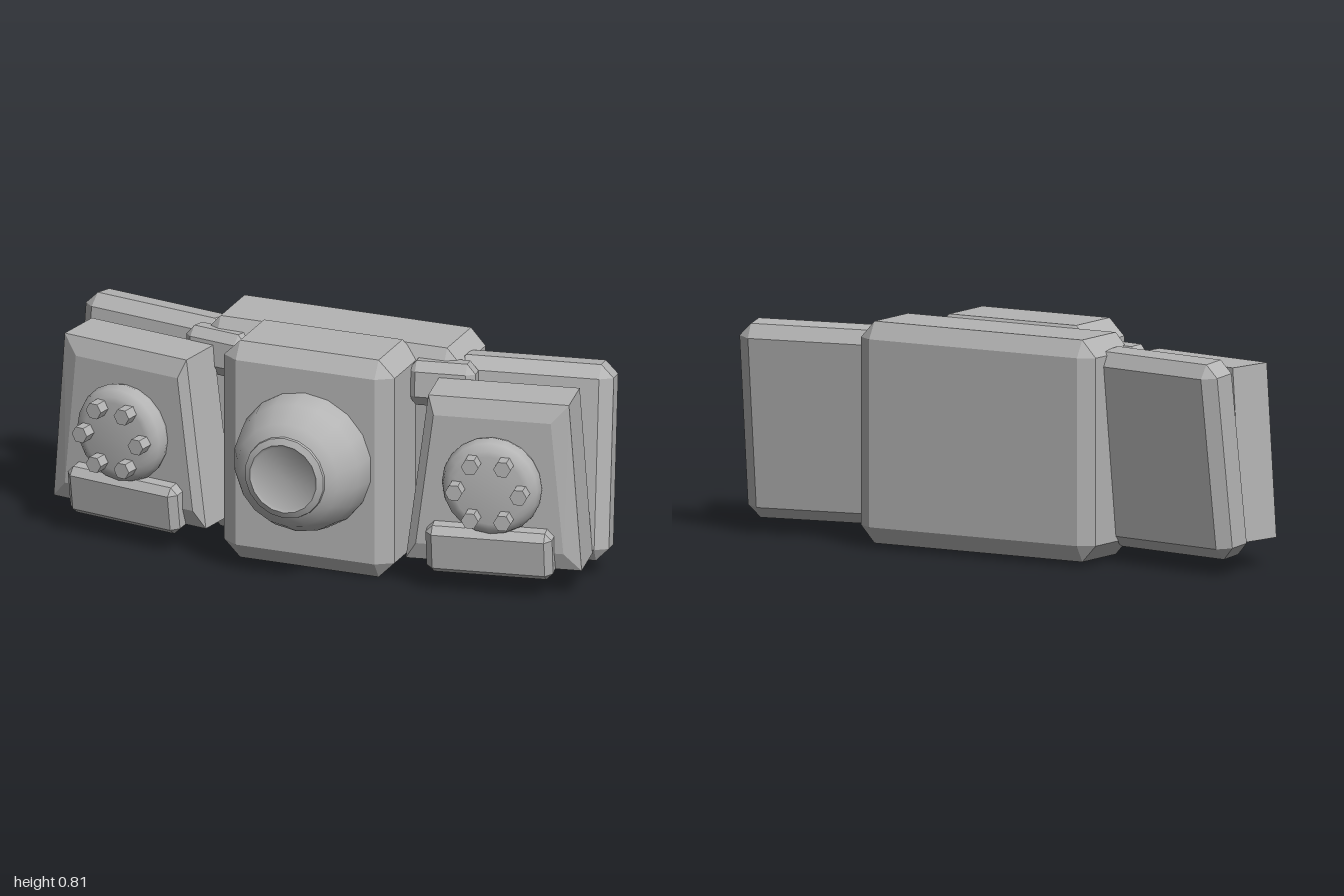
import * as THREE from 'three';
import { toCreasedNormals } from 'three/addons/utils/BufferGeometryUtils.js';
import { ConvexGeometry } from 'three/addons/geometries/ConvexGeometry.js';

const V = (x, y, z) => new THREE.Vector3(x, y, z);

// Box of size w,h,d with all edges and corners chamfered by cx,cy,cz
function chamferBox(w, h, d, cx, cy, cz) {
  const x = w / 2, y = h / 2, z = d / 2, pts = [];
  for (const i of [-1, 1]) for (const j of [-1, 1]) for (const k of [-1, 1]) {
    pts.push(
      V(i * x, j * (y - cy), k * (z - cz)),
      V(i * (x - cx), j * y, k * (z - cz)),
      V(i * (x - cx), j * (y - cy), k * z));
  }
  return new ConvexGeometry(pts);
}

// Round part turned about the z axis; profile is [radius, z] pairs
function turned(profile, sides) {
  const g = new THREE.LatheGeometry(profile.map(([r, z]) => new THREE.Vector2(r, z)), sides);
  return toCreasedNormals(g.rotateX(Math.PI / 2), 0.7);
}

export function createModel() {
  const grey = new THREE.MeshStandardMaterial({ color: 0xb4b4b4 });
  grey.name = 'grey';
  const model = new THREE.Group();
  model.name = 'beltUnit';

  const add = (parent, name, geometry, x, y, z, pitch = 0, yaw = 0) => {
    const m = new THREE.Mesh(geometry, grey);
    m.name = name;
    m.position.set(x, y, z);
    m.rotation.set(pitch, yaw, 0, 'YXZ');
    parent.add(m);
    return m;
  };

  // Central blocks
  add(model, 'centreBlock', chamferBox(0.64, 0.805, 0.30, 0.06, 0.06, 0.04), 0, 0.4025, 0.01);
  add(model, 'rearBlock', chamferBox(0.96, 0.78, 0.29, 0.055, 0.06, 0.035), 0, 0.405, -0.215);

  // Central dome with a flat rimmed tip
  add(model, 'dome', turned([
    [0.25, 0.14], [0.25, 0.17], [0.235, 0.24], [0.19, 0.323], [0.15, 0.343],
    [0.148, 0.352], [0.125, 0.362], [0.115, 0.355], [0, 0.355],
  ], 18), 0, 0.41, 0);

  // Wings on both sides, swept back
  for (const s of [1, -1]) {
    const yaw = 0.175 * s;

    add(model, 'rearPanel', chamferBox(0.57, 0.7, 0.145, 0.045, 0.045, 0.035),
      0.71 * s, 0.405, -0.2, -0.13, yaw);
    add(model, 'bracket', chamferBox(0.24, 0.16, 0.1, 0.03, 0.035, 0.025),
      0.42 * s, 0.675, -0.08, -0.08, yaw);

    const wing = new THREE.Group();
    wing.name = s > 0 ? 'leftWing' : 'rightWing';
    wing.position.set(0.68 * s, 0, 0.01);
    wing.rotation.y = yaw;
    model.add(wing);

    // Tapered front panel: each row is inner x, outer x, y, z
    const corners = [];
    for (const [inner, outer, y, z] of [
      [-0.325, 0.30, 0.1, -0.09], [-0.245, 0.255, 0.71, -0.09],
      [-0.325, 0.30, 0.1, 0.087], [-0.245, 0.255, 0.71, 0.087],
      [-0.285, 0.24, 0.165, 0.11], [-0.222, 0.195, 0.645, 0.11],
    ]) corners.push(V(inner * s, y, z), V(outer * s, y, z));
    add(wing, 'frontPanel', new ConvexGeometry(corners), 0, 0, 0);

    // Round cap and its ring of six bolts
    add(wing, 'cap', turned([
      [0.15, 0.085], [0.17, 0.1], [0.178, 0.128], [0.168, 0.158],
      [0.145, 0.178], [0.125, 0.182], [0, 0.182],
    ], 20), -0.01 * s, 0.407, 0);
    for (let i = 0; i < 6; i++) {
      const a = i * Math.PI / 3;
      const bolt = new THREE.CylinderGeometry(0.031, 0.031, 0.06, 6).toNonIndexed();
      bolt.rotateY(Math.PI / 2).rotateX(Math.PI / 2);
      add(wing, 'bolt', toCreasedNormals(bolt, 0.5),
        -0.01 * s + 0.115 * Math.cos(a), 0.407 + 0.115 * Math.sin(a), 0.2);
    }

    // Tilted ledge under the cap
    add(wing, 'ledge', chamferBox(0.45, 0.18, 0.15, 0.025, 0.025, 0.025),
      -0.018 * s, 0.167, 0.085, 0.14);
  }
  return model;
}
